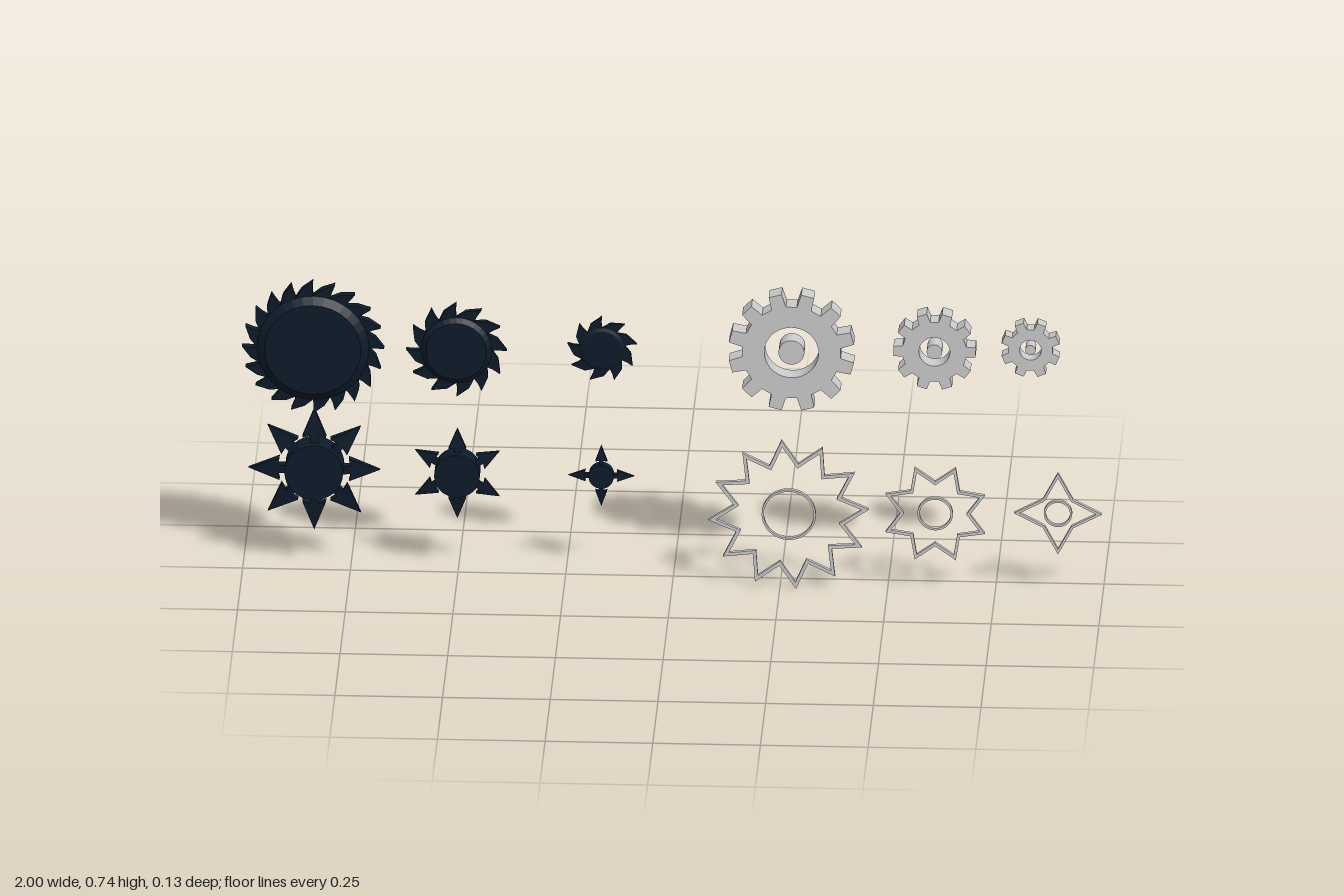
import * as THREE from 'three';

const dark = new THREE.MeshStandardMaterial({ color: 0x0d1b2a, flatShading: true });
const grey = new THREE.MeshStandardMaterial({ color: 0xcccccc, flatShading: true });
const TAU = Math.PI * 2;

const polar = (r, a) => new THREE.Vector2(r * Math.cos(a), r * Math.sin(a));

function circle(r) {
  return new THREE.Path().absarc(0, 0, r, 0, TAU, true);
}

// Extrusion centred on z = 0
function slab(shape, depth) {
  const g = new THREE.ExtrudeGeometry(shape, { depth, bevelEnabled: false, curveSegments: 20 });
  return g.translate(0, 0, -depth / 2);
}

// Cylinder or cone frustum along z
function disc(rFront, rBack, depth) {
  return new THREE.CylinderGeometry(rFront, rBack, depth, 32).rotateX(Math.PI / 2);
}

function add(group, name, geometry, material) {
  const mesh = new THREE.Mesh(geometry, material);
  mesh.name = name;
  group.add(mesh);
  return mesh;
}

function part(root, name, x, y, z) {
  const group = new THREE.Group();
  group.name = name;
  group.position.set(x, y, z);
  root.add(group);
  return group;
}

// Saw blade: slanted teeth round a thick, chamfered core
function sawBlade(group, r, root, teeth, half, rim) {
  const pts = [];
  const step = TAU / teeth;
  for (let i = 0; i < teeth; i++) {
    const a = Math.PI / 2 - i * step;
    pts.push(polar(root, a), polar((r + root) / 2, a - step * 0.42),
      polar(r, a - step), polar((r + root) / 2 * 0.97, a - step * 0.97));
  }
  add(group, 'sawTeeth', slab(new THREE.Shape(pts.reverse()), rim * 2), dark);
  const h = half - rim;
  for (const s of [1, -1]) {
    const cone = s > 0 ? disc(root * 0.86, root, h) : disc(root, root * 0.86, h);
    add(group, s > 0 ? 'frontCore' : 'backCore', cone.translate(0, 0, s * (rim + h / 2)), dark);
  }
}

// Spiked wheel: round hub with arrow-shaped spikes that thin toward the tip
function spikedWheel(group, r, hub, spikes, half) {
  add(group, 'hub', disc(hub, hub, half * 2), dark);
  const base = hub + (r - hub) * 0.2;
  const w = r * 0.18;
  const arrow = new THREE.Shape([[hub * 0.7, -w * 0.35], [base, -w * 0.35], [base - r * 0.03, -w],
    [r, 0], [base - r * 0.03, w], [base, w * 0.35], [hub * 0.7, w * 0.35]]
    .map(([x, y]) => new THREE.Vector2(x, y)));
  const geo = slab(arrow, 2);
  const p = geo.attributes.position;
  for (let i = 0; i < p.count; i++) {
    const t = (r - p.getX(i)) / (r - hub * 0.7);
    p.setZ(i, p.getZ(i) * r * (0.025 + 0.065 * t));
  }
  geo.computeVertexNormals();
  for (let i = 0; i < spikes; i++) {
    add(group, 'spike', geo, dark).rotation.z = Math.PI / 2 + i * TAU / spikes;
  }
}

// Toothed gear with an open bore and a loose axle in it
function gear(group, r, root, teeth, depth, bore, axle) {
  const pts = [];
  const step = TAU / teeth;
  for (let i = 0; i < teeth; i++) {
    const a = Math.PI / 2 + (i + 0.5) * step;
    pts.push(polar(root, a - step * 0.29), polar(r, a - step * 0.2),
      polar(r, a + step * 0.2), polar(root, a + step * 0.29));
  }
  const shape = new THREE.Shape(pts);
  shape.holes.push(circle(bore));
  add(group, 'gearBody', slab(shape, depth), grey);
  add(group, 'axle', disc(axle, axle, depth), grey);
}

// Outline star: thin pointed frame with a thin ring in the middle
function starFrame(group, r, inner, points, turn, ring, width) {
  const outline = [];
  for (let i = 0; i < points * 2; i++) {
    outline.push(polar(i % 2 ? inner : r, turn + i * Math.PI / points));
  }
  // Inset every edge by the same width
  const edge = outline[1].clone().sub(outline[0]);
  const dist = Math.abs(outline[0].cross(outline[1])) / edge.length();
  const k = 1 - width / dist;
  const star = new THREE.Shape(outline);
  star.holes.push(new THREE.Path(outline.map((p) => p.clone().multiplyScalar(k)).reverse()));
  add(group, 'starOutline', slab(star, 0.01), grey);
  const band = new THREE.Shape().absarc(0, 0, ring, 0, TAU, false);
  band.holes.push(circle(ring - 0.005));
  add(group, 'centreRing', slab(band, 0.01), grey);
}

export function createModel() {
  const root = new THREE.Group();
  root.name = 'gearAndBladeSet';

  // Upper left: saw blades
  sawBlade(part(root, 'largeSaw', -0.835, 0.574, 0.025), 0.165, 0.13, 20, 0.023, 0.01);
  sawBlade(part(root, 'mediumSaw', -0.502, 0.575, 0.029), 0.117, 0.082, 12, 0.015, 0.007);
  sawBlade(part(root, 'smallSaw', -0.165, 0.574, 0.008), 0.082, 0.053, 9, 0.007, 0.004);

  // Lower left: spiked wheels
  spikedWheel(part(root, 'largeSpikedWheel', -0.835, 0.244, -0.031), 0.153, 0.068, 8, 0.031);
  spikedWheel(part(root, 'mediumSpikedWheel', -0.502, 0.247, -0.012), 0.113, 0.053, 6, 0.024);
  spikedWheel(part(root, 'smallSpikedWheel', -0.168, 0.245, -0.017), 0.077, 0.029, 4, 0.012);

  // Upper right: gears
  gear(part(root, 'largeGear', 0.275, 0.577, -0.005), 0.147, 0.115, 12, 0.046, 0.063, 0.03);
  gear(part(root, 'mediumGear', 0.606, 0.577, -0.025), 0.096, 0.075, 10, 0.045, 0.036, 0.018);
  gear(part(root, 'smallGear', 0.828, 0.577, -0.04), 0.069, 0.052, 8, 0.033, 0.025, 0.012);

  // Lower right: outline stars
  const up = Math.PI / 2;
  starFrame(part(root, 'largeStar', 0.271, 0.188, 0.059), 0.187, 0.13, 12, up + 0.09, 0.063, 0.008);
  starFrame(part(root, 'mediumStar', 0.611, 0.197, 0.059), 0.125, 0.081, 8, up + Math.PI / 8, 0.041, 0.007);
  starFrame(part(root, 'smallStar', 0.896, 0.203, 0.059), 0.102, 0.05, 4, up, 0.033, 0.006);

  return root;
}
